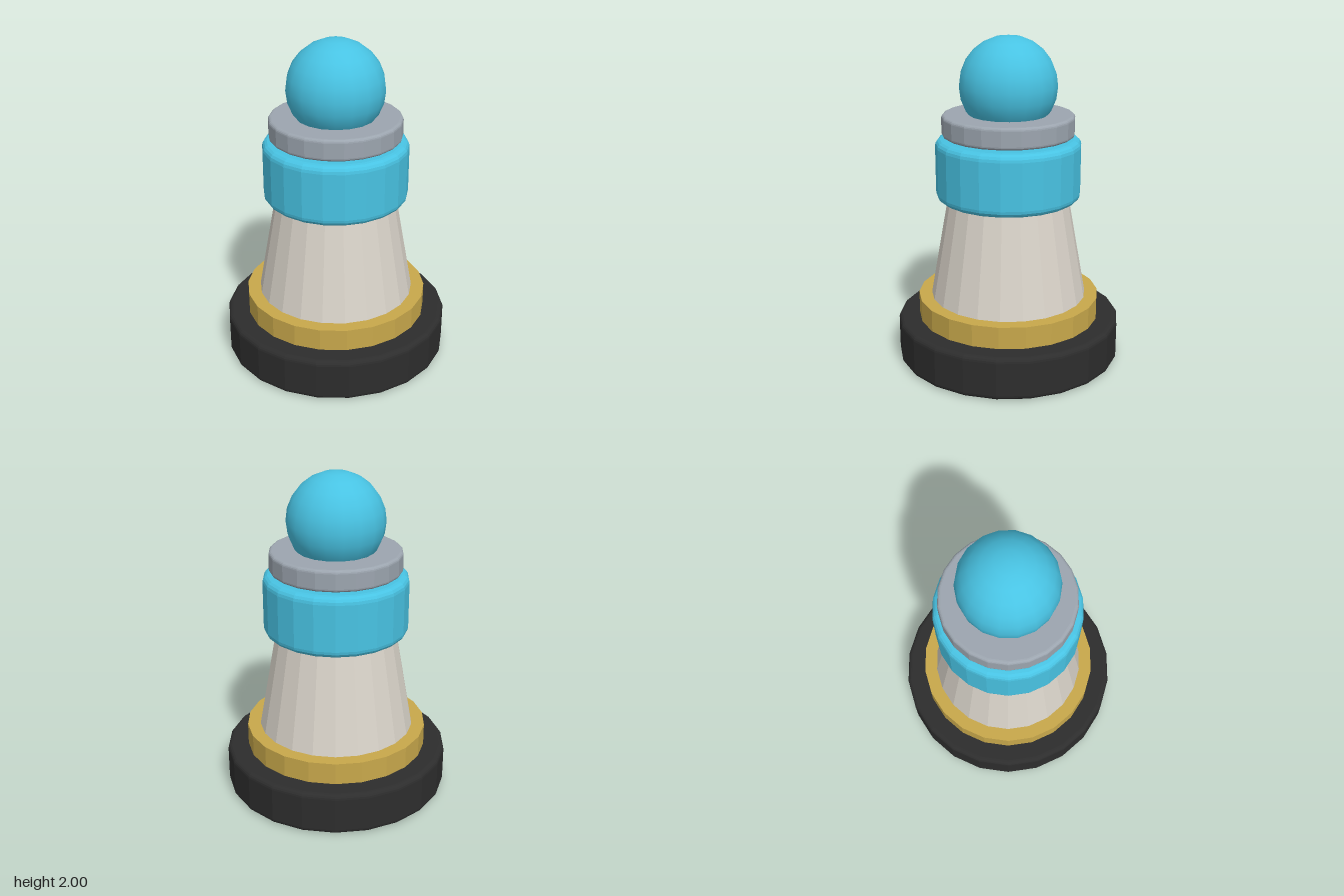
import * as THREE from 'three';

const SIDES = 22;

function material(name, color, flatShading = true) {
  const m = new THREE.MeshStandardMaterial({ color, flatShading });
  m.name = name;
  return m;
}

// Closed disc with rounded rims, from height y0 to y1
function roundedDisc(radius, y0, y1, bevel, steps = 4) {
  const points = [new THREE.Vector2(0, y0)];
  for (const [cy, start] of [[y0 + bevel, -Math.PI / 2], [y1 - bevel, 0]]) {
    for (let i = 0; i <= steps; i++) {
      const a = start + (i / steps) * Math.PI / 2;
      points.push(new THREE.Vector2(radius - bevel + bevel * Math.cos(a), cy + bevel * Math.sin(a)));
    }
  }
  points.push(new THREE.Vector2(0, y1));
  return new THREE.LatheGeometry(points, SIDES);
}

// Straight or tapered solid from height y0 to y1
function drum(bottomRadius, topRadius, y0, y1) {
  return new THREE.CylinderGeometry(topRadius, bottomRadius, y1 - y0, SIDES).translate(0, (y0 + y1) / 2, 0);
}

export function createModel() {
  const model = new THREE.Group();
  model.name = 'gamePiece';

  const black = material('black', 0x2d2d2d);
  const gold = material('gold', 0xc8a84b);
  const ivory = material('ivory', 0xdad4ca);
  const blue = material('blue', 0x48c3e3, false);
  const grey = material('grey', 0x9ca5af);

  const add = (name, geometry, mat) => {
    const mesh = new THREE.Mesh(geometry, mat);
    mesh.name = name;
    model.add(mesh);
  };

  // Stepped foot
  add('base', roundedDisc(0.69, 0, 0.265, 0.03), black);
  add('baseRing', drum(0.56, 0.56, 0.26, 0.4), gold);

  // Tapered body
  add('body', drum(0.48, 0.365, 0.4, 1.04), ivory);

  // Collar and the plate floating just above it; the collar is faceted
  add('collar', roundedDisc(0.44, 1.015, 1.39, 0.045).toNonIndexed(), blue);
  model.getObjectByName('collar').geometry.computeVertexNormals();
  add('plate', roundedDisc(0.4, 1.405, 1.535, 0.02), grey);

  // Smooth head resting in the plate
  add('head', new THREE.SphereGeometry(0.295, 18, 12).rotateY(Math.PI / 2).translate(0, 1.705, 0), blue);

  return model;
}
